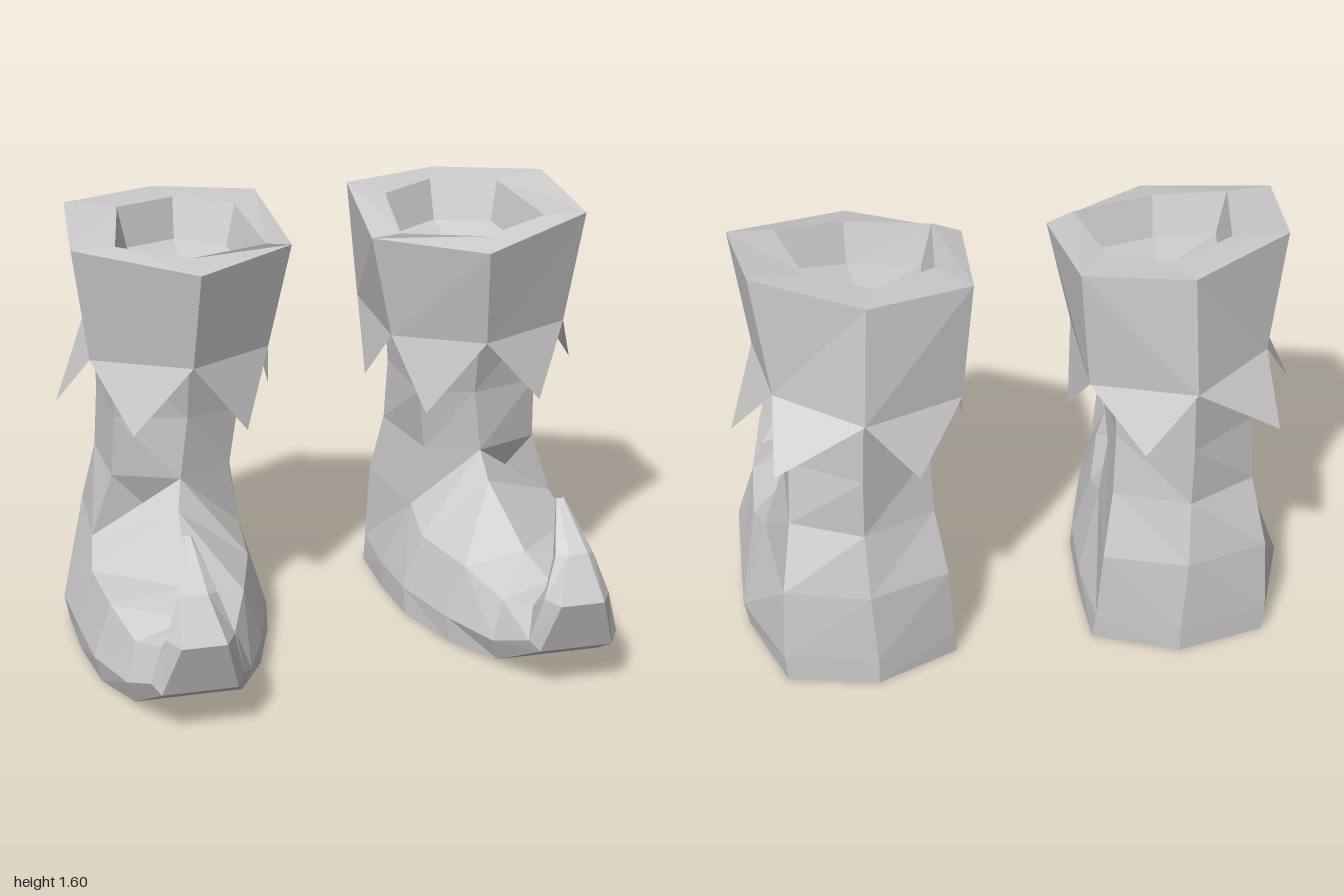
import * as THREE from 'three';

// Mesh from triangles of [x, y, z] corners; side -1 mirrors it across x
function facetMesh(name, tris, side) {
  const pos = [];
  for (const [a, b, c] of tris) {
    for (const p of side > 0 ? [a, b, c] : [a, c, b]) pos.push(p[0] * side, p[1], p[2]);
  }
  const geo = new THREE.BufferGeometry();
  geo.setAttribute('position', new THREE.Float32BufferAttribute(pos, 3));
  geo.computeVertexNormals();
  const mat = new THREE.MeshStandardMaterial({ color: 0xcccccc, flatShading: true, side: THREE.DoubleSide });
  const mesh = new THREE.Mesh(geo, mat);
  mesh.name = name;
  return mesh;
}

// Skin between successive rings of corners
function loft(rings) {
  const tris = [];
  for (let r = 0; r < rings.length - 1; r++) {
    const a = rings[r], b = rings[r + 1], n = a.length;
    for (let i = 0; i < n; i++) {
      const j = (i + 1) % n;
      tris.push([a[i], a[j], b[j]], [a[i], b[j], b[i]]);
    }
  }
  return tris;
}

// Fan closing a ring; drop lowers its centre
function cap(ring, flip = false, drop = 0) {
  const n = ring.length;
  const c = [0, 1, 2].map(k => ring.reduce((s, p) => s + p[k], 0) / n);
  c[1] -= drop;
  return ring.map((p, i) => {
    const q = ring[(i + 1) % n];
    return flip ? [c, q, p] : [c, p, q];
  });
}

// Hexagon at height y, corners [x, z]: front, outer front, outer back, back, inner back, inner front
const hex = (y, pts) => pts.map(([x, z]) => [x, y, z]);

const legRings = [
  hex(0, [[.6, -.35], [.98, -.35], [.87, -.68], [.55, -.75], [.25, -.62], [.25, -.35]]),
  hex(.1, [[.6, -.35], [1, -.35], [.88, -.68], [.55, -.75], [.26, -.63], [.25, -.35]]),
  hex(.38, [[.6, -.25], [.9, -.25], [.87, -.66], [.57, -.74], [.28, -.64], [.34, -.25]]),
  hex(.62, [[.58, -.14], [.82, -.24], [.83, -.57], [.58, -.69], [.32, -.58], [.38, -.22]]),
  hex(.86, [[.55, -.13], [.81, -.21], [.82, -.54], [.58, -.7], [.33, -.56], [.35, -.19]]),
  hex(1.15, [[.55, -.06], [.83, -.17], [.82, -.54], [.57, -.71], [.31, -.56], [.32, -.17]]),
];

// Foot stations: [z, y, inner x, outer x] for sole edge, side and upper crease, then the ridge [z, y, x]
const footStations = [
  [[-.35, 0, .25, .98], [-.35, .1, .25, 1], [-.25, .38, .34, .9], [-.14, .62, .58]],
  [[-.08, 0, .27, .98], [-.1, .1, .27, .99], [-.09, .31, .34, .93], [-.09, .51, .6]],
  [[.2, 0, .36, .95], [.2, .1, .355, .975], [.2, .3, .42, .91], [.24, .355, .64]],
  [[.43, .02, .48, .87], [.45, .11, .45, .9], [.42, .25, .5, .86], [.44, .32, .67]],
  [[.7, .17, .55, .82], [.66, .2, .52, .85], [.55, .28, .57, .79], [.53, .325, .68]],
  [[.77, .37, .6, .76], [.7, .375, .56, .8], [.6, .37, .6, .76], [.565, .38, .68]],
  [[.69, .53, .65, .72], [.66, .52, .61, .75], [.58, .48, .63, .73], [.555, .5, .68]],
  [[.5, .67, .67, .69], [.49, .67, .665, .695], [.485, .66, .67, .69], [.475, .65, .68]],
];
const footRings = footStations.map(([low, mid, crease, top]) => {
  const inner = p => [p[2], p[1], p[0]], outer = p => [p[3], p[1], p[0]];
  return [inner(low), outer(low), outer(mid), outer(crease), inner(top), inner(crease), inner(mid)];
});

// Cuff: notch corners below, slanted rim above, then the inside of the opening
const notches = [[.55, 1.1, .01], [.9, 1.11, -.15], [.86, 1.15, -.54], [.57, 1.13, -.75], [.22, 1.12, -.61], [.235, 1.1, -.17]];
const rim = [[.53, 1.47, .09], [.96, 1.54, -.1], [.92, 1.6, -.51], [.55, 1.58, -.72], [.18, 1.57, -.62], [.15, 1.49, -.14]];
const mouth = [[.55, 1.5, -.03], [.8, 1.54, -.11], [.73, 1.58, -.47], [.5, 1.57, -.59], [.29, 1.56, -.47], [.25, 1.51, -.11]];
const floorRing = mouth.map(([x, y, z]) => [.54 + (x - .54) * .85, y - .15, -.3 + (z + .3) * .85]);
// Lowest point of the flap between each notch and the next
const flapTips = [[.77, .85, -.02], [1, .89, -.35], [.88, .92, -.7], [.39, .91, -.77], [.19, .88, -.38], [.34, .82, -.06]];

function makeBoot(side) {
  const boot = new THREE.Group();
  boot.name = side > 0 ? 'leftBoot' : 'rightBoot';
  const flaps = notches.map((p, i) => [p, flapTips[i], notches[(i + 1) % 6]]);
  boot.add(
    facetMesh('legAndHeel', [...cap(legRings[0], true), ...loft(legRings)], side),
    facetMesh('footWithCurledToe', [...loft(footRings), ...cap(footRings[7])], side),
    facetMesh('cuff', [...loft([legRings[5], notches, rim, mouth, floorRing]), ...cap(floorRing, false, .05)], side),
    facetMesh('cuffFlaps', flaps, side),
  );
  return boot;
}

export function createModel() {
  const model = new THREE.Group();
  model.name = 'curledToeBoots';
  for (const side of [1, -1]) model.add(makeBoot(side));
  return model;
}
